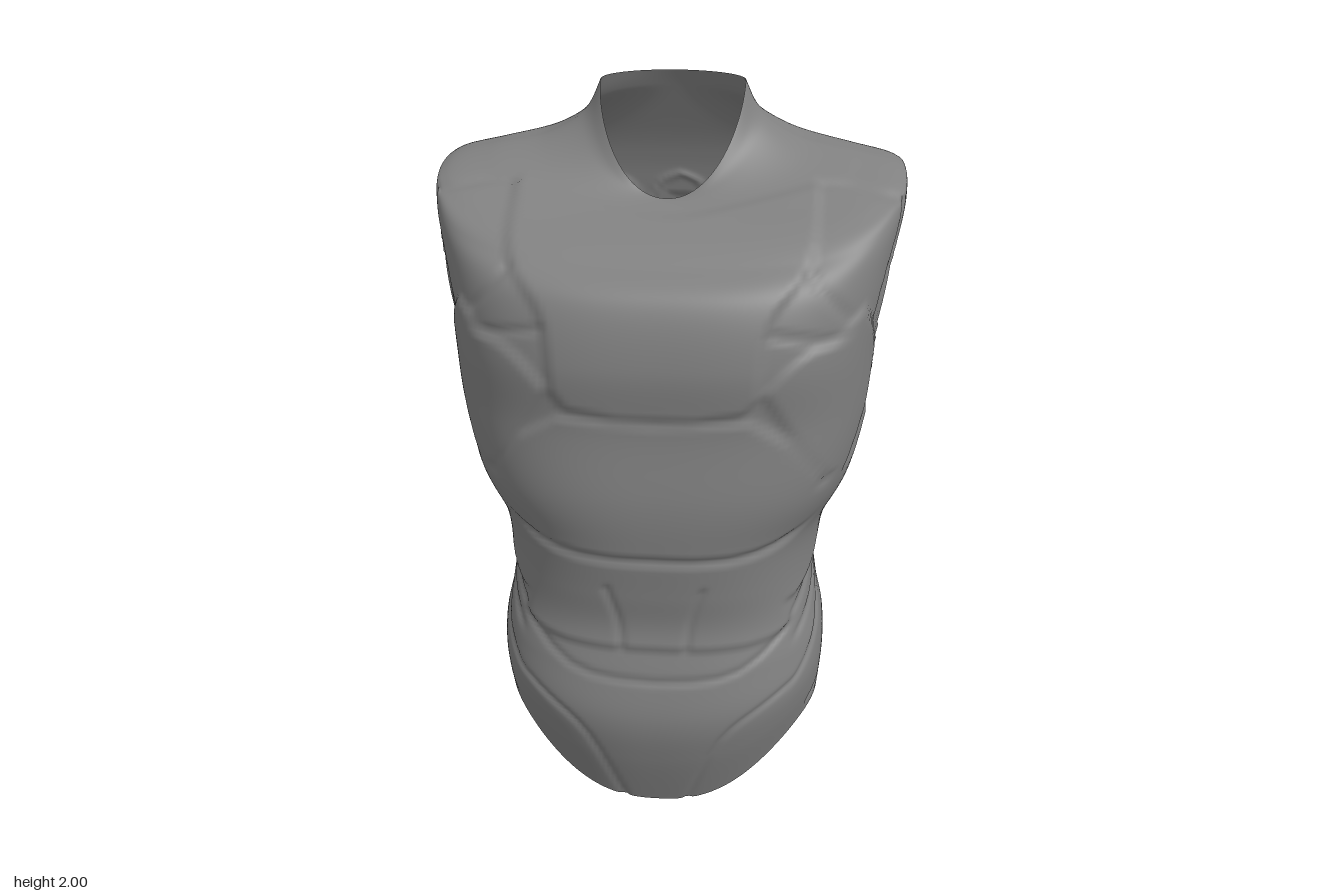
import * as THREE from 'three';

const smooth = (a, b, x) => THREE.MathUtils.smoothstep(x, a, b);
const COLS = 270, STEPS = 13;

// Key rings from hem to neck: half width, front z, back z, side y, then front y and back y where they differ
const RINGS = [
  [.468, .41, -.29, .25, 0, .17],
  [.475, .465, -.255, .34, .18, .32],
  [.478, .487, -.215, .42, .32, .42],
  [.472, .465, -.2, .5, .46, .5],
  [.45, .435, -.22, .6],
  [.438, .445, -.265, .72],
  [.457, .46, -.315, .86],
  [.525, .465, -.365, 1],
  [.572, .443, -.44, 1.2],
  [.592, .45, -.475, 1.38],
  [.622, .405, -.478, 1.54],
  [.65, .31, -.46, 1.735, 1.605, 1.66],
  [.628, .235, -.443, 1.785, 1.65, 1.73],
  [.51, .15, -.422, 1.815, 1.685, 1.79],
  [.36, .09, -.388, 1.845, 1.707, 1.865],
  [.25, .06, -.347, 1.91, 1.717, 1.95],
  [.2, .042, -.32, 2, 1.72, 2],
].map(([w, zf, zb, y, yf = y, yb = y]) => [w, zf, zb, y, yf, yb]);

// Smooth curve through a few points
const curve = (...pts) => new THREE.SplineCurve(pts.map(p => new THREE.Vector2(...p)))
  .getPoints(4 * (pts.length - 1)).map(p => [p.x, p.y]);

// Front: raised chest, pectoral, rib and belly plates in |x| and y
const FRONT = {
  plates: [
    [...curve([-.2, 1.7], [0, 1.69], [.15, 1.705], [.41, 1.76]),
      ...curve([.41, 1.76], [.39, 1.62], [.29, 1.5], [.265, 1.31]), [.23, 1.265], [.1, 1.245], [-.2, 1.245]],
    curve([.28, 1.32], [.4, 1.42], [.58, 1.4], [.64, 1.15], [.53, .975], [.42, 1.08], [.28, 1.32]),
    [[-.2, 1.22], [.25, 1.24], [.36, 1.17], ...curve([.48, 1], [.4, .91], [.2, .85], [-.2, .855])],
    [...curve([-.2, .83], [.2, .83], [.38, .88], [.5, .98]), ...curve([.5, .7], [.4, .6], [.25, .55], [-.2, .55])],
  ],
  lines: [
    curve([.41, 1.76], [.5, 1.757], [.65, 1.73]),
    curve([.39, 1.6], [.48, 1.5], [.58, 1.37]),
    curve([.29, 1.47], [.45, 1.44]),
    curve([.09, .55], [.1, .64], [.13, .74]),
    curve([0, .45], [.24, .48], [.45, .65]),
    curve([.09, 0], [.19, .26], [.32, .37], [.48, .45]),
  ],
};

// Back: slanting plates beside a raised spine, a shoulder yoke, a waist line and an oval
const BACK = {
  plates: [
    ...[0, 1, 2, 3].map(k => {
      const top = 1.6 - .18 * k, out = .44 - .02 * k, drop = .03 + .03 * k;
      return [[.13, top], [out, top - drop], [out, top - .18 - drop], [.13, top - .155]];
    }),
    [[-.2, 1.6], [.03, 1.6], [.075, 1.5], [.085, 1.2], [.06, .95], [-.2, .95]],
  ],
  lines: [
    curve([0, 1.67], [.06, 1.64], [.105, 1.56], [.16, 1.64], [.26, 1.66], [.4, 1.6], [.58, 1.57]),
    curve([0, .87], [.15, .86], [.42, .74]),
    new THREE.EllipseCurve(.31, .41, .045, .08).getPoints(16).map(p => [p.x, p.y]),
  ],
};

// Sides: flank and pectoral plates with sweeping diagonals, in z and y
const SIDE = {
  plates: [
    [...curve([.3, .66], [.1, .78], [-.02, .96], [.08, 1.16]), [.14, 1.06], [.4, 1.02], [.4, .66]],
    [[.15, 1.38], [.17, 1.2], [.25, 1.01], [.42, 1.1], [.42, 1.4], [.25, 1.5]],
  ],
  lines: [
    curve([.45, .55], [.3, .61], [.05, .84]),
    curve([.47, .45], [.1, .68], [-.16, .95], [-.38, 1.28]),
    curve([.42, .36], [.1, .6], [-.3, .82]),
    curve([.25, .27], [.05, .38], [-.15, .66]),
    curve([.13, 1.35], [.17, 1.45], [.02, 1.73]),
    curve([-.27, .82], [-.4, 1.28], [-.45, 1.65]),
  ],
};

// Catmull-Rom blend of the key rings
function ringAt(v) {
  const i = Math.min(Math.floor(v), RINGS.length - 2), t = v - i;
  const p = k => RINGS[Math.max(0, Math.min(RINGS.length - 1, k))];
  const [a, b, c, d] = [p(i - 1), p(i), p(i + 1), p(i + 2)];
  return b.map((_, k) => b[k] + .5 * t * (c[k] - a[k] + t * (2 * a[k] - 5 * b[k] + 4 * c[k] - d[k]
    + t * (3 * (b[k] - c[k]) + d[k] - a[k]))));
}

// Point on a ring: rounded front, squarer upper back, domed shoulders
function ringPoint([w, zf, zb, ys, yf, yb], angle) {
  const s = Math.sin(angle), c = Math.cos(angle), front = c > 0;
  const n = front ? 2.5 + .5 * smooth(.8, 1.2, ys) - .9 * smooth(1.74, 1.95, ys)
    : 2.6 + 1.9 * smooth(.9, 1.7, ys) - 2.5 * smooth(1.76, 1.92, ys);
  const sum = Math.abs(s) ** n + Math.abs(c) ** n, r = sum ** (-1 / n);
  const middle = .08 - .25 * smooth(.5, 1.6, ys);
  const bend = 1.6 - .6 * smooth(.25, .5, ys) - .4 * smooth(1.5, 1.75, ys);
  return [
    w * s * r,
    ys + ((front ? yf : yb) - ys) * (Math.abs(c) ** n / sum) ** bend,
    middle + Math.abs(c) * r * ((front ? zf : zb) - middle),
  ];
}

// Distance to a path; negative inside a closed one
function pathDistance(path, px, py, closed) {
  let best = 9, inside = false;
  for (let i = closed ? 0 : 1; i < path.length; i++) {
    const [ax, ay] = path[(i || path.length) - 1], [bx, by] = path[i];
    const dx = bx - ax, dy = by - ay, len = dx * dx + dy * dy || 1;
    const t = Math.max(0, Math.min(1, ((px - ax) * dx + (py - ay) * dy) / len));
    best = Math.min(best, Math.hypot(px - ax - t * dx, py - ay - t * dy));
    if ((ay > py) !== (by > py) && px < ax + dx * (py - ay) / dy) inside = !inside;
  }
  return closed && inside ? -best : best;
}

// Height of the plates and grooves at one spot
function relief(art, u, y) {
  let h = 0, d = 9;
  for (const plate of art.plates) h = Math.max(h, .011 * smooth(-.013, .013, -pathDistance(plate, u, y, true)));
  for (const line of art.lines) d = Math.min(d, pathDistance(line, u, y, false));
  return h - .007 * Math.exp(-((d / .01) ** 2));
}

function torsoGeometry() {
  const pos = [], index = [], rows = (RINGS.length - 1) * STEPS;
  for (let j = 0; j <= rows; j++) {
    const ring = ringAt(j / STEPS);
    for (let i = 0; i < COLS; i++) pos.push(...ringPoint(ring, i / COLS * Math.PI * 2));
  }
  for (let j = 0; j < rows; j++) for (let i = 0; i < COLS; i++) {
    const a = j * COLS + i, b = j * COLS + (i + 1) % COLS;
    index.push(a, b, b + COLS, a, b + COLS, a + COLS);
  }
  const geo = new THREE.BufferGeometry();
  geo.setAttribute('position', new THREE.Float32BufferAttribute(pos, 3));
  geo.setIndex(index);
  geo.computeVertexNormals();

  // Emboss plates and grooves, and press in the lower back hollow
  const P = geo.attributes.position, N = geo.attributes.normal;
  for (let k = 0; k < P.count; k++) {
    const x = Math.abs(P.getX(k)), y = P.getY(k), z = P.getZ(k);
    const nx = N.getX(k), ny = N.getY(k), nz = N.getZ(k);
    const side = smooth(.65, .8, Math.abs(nx)) * smooth(-1.8, -1.74, -y);
    let h = side > 0 ? side * relief(SIDE, z, y) : 0;
    if (side < 1 && y < 1.8) h += (1 - side) * relief(nz > 0 ? FRONT : BACK, x, y);
    if (nz < 0) h -= .03 * smooth(-.12, -.06, -Math.hypot(x, (y - .67) * .85));
    P.setXYZ(k, P.getX(k) + nx * h, y + ny * h, z + nz * h);
  }

  // Cut the armholes: drop faces inside a leaning ellipse and pull the rim onto it
  const radius = Array.from({ length: P.count }, (_, k) => {
    const dy = P.getY(k) - 1.485, dz = P.getZ(k) + .135 + .2 * dy;
    return Math.abs(P.getX(k)) < .35 ? 9 : Math.hypot(dy / .27, dz / .26);
  });
  const kept = [], rim = new Set();
  for (let f = 0; f < index.length; f += 3) {
    const tri = index.slice(f, f + 3);
    if (tri.every(k => radius[k] < 1)) continue;
    kept.push(...tri);
    for (const k of tri) if (radius[k] < 1) rim.add(k);
  }
  for (const k of rim) {
    P.setY(k, 1.485 + (P.getY(k) - 1.485) / radius[k]);
    P.setZ(k, -.135 + (P.getZ(k) + .135) / radius[k]);
  }
  geo.setIndex(kept);
  geo.computeVertexNormals();
  return geo;
}

export function createModel() {
  const group = new THREE.Group();
  group.name = 'torsoArmour';
  const shell = new THREE.Mesh(torsoGeometry(),
    new THREE.MeshStandardMaterial({ color: 0x808080, side: THREE.DoubleSide }));
  shell.name = 'torsoShell';
  group.add(shell);
  return group;
}
